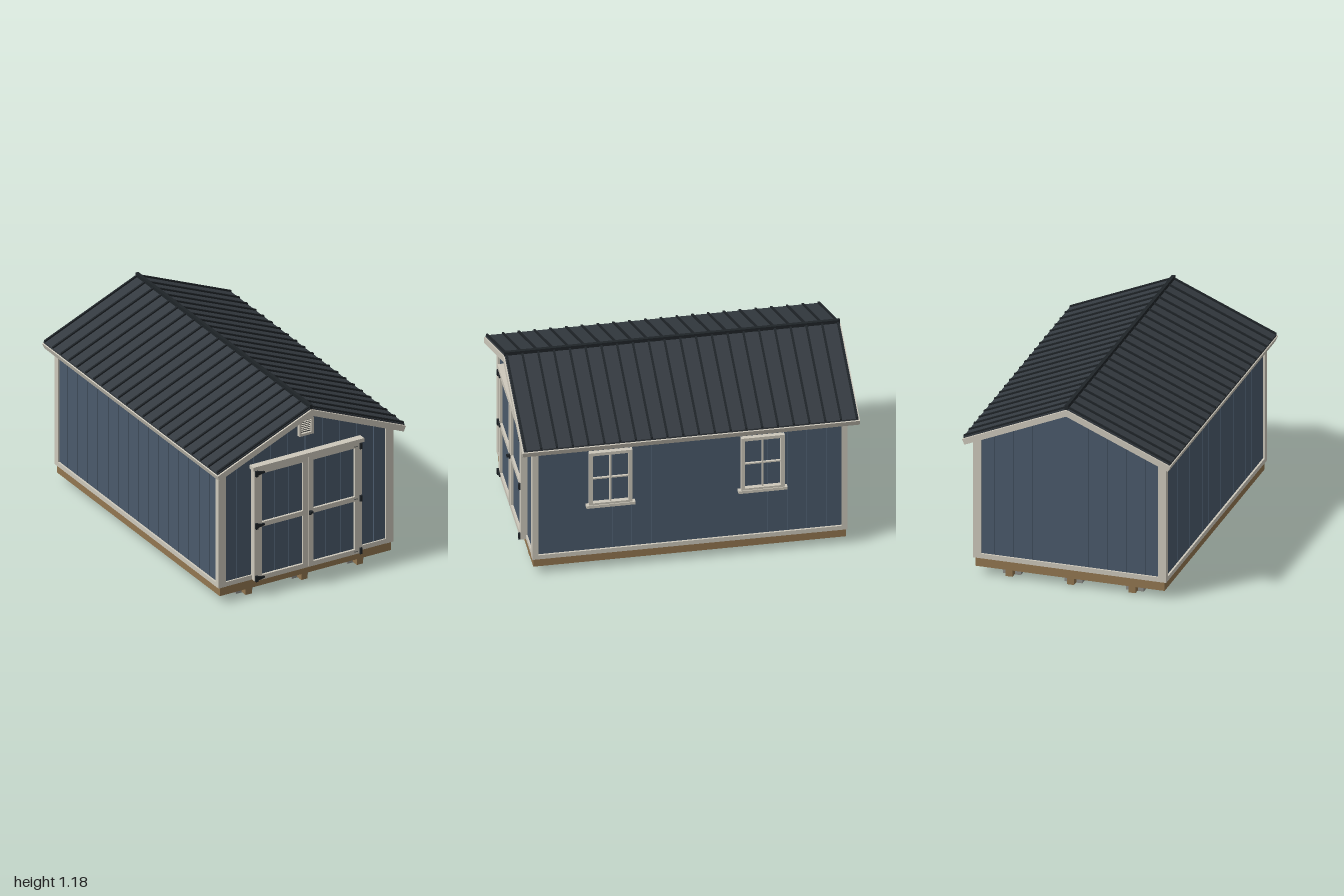
import * as THREE from 'three';

const mat = (name, color, double) => {
  const m = new THREE.MeshStandardMaterial({ color });
  m.name = name;
  if (double) m.side = THREE.DoubleSide;
  return m;
};

export function createModel() {
  const siding = mat('blueSiding', 0x4a5a6b);
  const trim = mat('creamTrim', 0xcdc8bb);
  const metal = mat('roofMetal', 0x343a40);
  const dark = mat('darkMetal', 0x1f2428);
  const wood = mat('timber', 0x927650);
  const block = mat('concrete', 0x8e8e8a);

  const root = new THREE.Group();
  root.name = 'shed';
  const group = (name) => {
    const g = new THREE.Group();
    g.name = name;
    root.add(g);
    return g;
  };
  const add = (parent, name, geo, material) => {
    const m = new THREE.Mesh(geo, material);
    m.name = name;
    parent.add(m);
    return m;
  };
  // box given by its lower and upper corner
  const box = (parent, name, material, x0, x1, y0, y1, z0, z1) => {
    const m = add(parent, name, new THREE.BoxGeometry(x1 - x0, y1 - y0, z1 - z0), material);
    m.position.set((x0 + x1) / 2, (y0 + y1) / 2, (z0 + z1) / 2);
    return m;
  };
  // flat outline in x and y, extruded from z0 to z1
  const slab = (parent, name, material, pts, z0, z1, holes = []) => {
    const s = new THREE.Shape(pts.map((p) => new THREE.Vector2(p[0], p[1])));
    holes.forEach((h) => s.holes.push(new THREE.Path(h.map((p) => new THREE.Vector2(p[0], p[1])))));
    const geo = new THREE.ExtrudeGeometry(s, { depth: z1 - z0, bevelEnabled: false });
    geo.translate(0, 0, z0);
    return add(parent, name, geo, material);
  };

  const SLOPE = 0.425, BASE = 0.105, WX = 0.58, WZ = 0.92;
  // upside-down V band: peak heights and half widths of its two faces
  const chevron = (top, bottom, w, wb = w) => [
    [0, top], [-w, top - SLOPE * w], [-wb, bottom - SLOPE * wb],
    [0, bottom], [wb, bottom - SLOPE * wb], [w, top - SLOPE * w],
  ];

  // foundation: pads, skids and floor frame
  const foundation = group('foundation');
  for (const x of [-0.377, 0, 0.377]) {
    box(foundation, 'skid', wood, x - 0.021, x + 0.021, 0.006, 0.052, -0.915, 0.915);
    for (const z of [-0.8, 0, 0.8]) {
      box(foundation, 'concretePad', block, x - 0.055, x + 0.055, 0, 0.031, z - 0.064, z + 0.064);
    }
  }
  box(foundation, 'floorFrame', wood, -WX, WX, 0.05, BASE, -0.925, 0.925);

  // wall core with vertical boards in front of it, leaving narrow grooves
  const walls = group('walls');
  const roofY = (x) => 1.125 - SLOPE * Math.abs(x);
  const c = WX - 0.007;
  slab(walls, 'wallCore', siding,
    [[-c, BASE], [c, BASE], [c, roofY(c)], [0, roofY(0)], [-c, roofY(c)]], -WZ + 0.007, WZ - 0.007);
  const GAP = 0.006;
  const gableBoards = 10, gw = (2 * WX) / gableBoards;
  for (let i = 0; i < gableBoards; i++) {
    const a = -WX + i * gw + GAP / 2, b = a + gw - GAP;
    const pts = [[a, BASE], [b, BASE], [b, roofY(b)], [a, roofY(a)]];
    slab(walls, 'frontBoard', siding, pts, WZ - 0.007, WZ);
    slab(walls, 'backBoard', siding, pts, -WZ, -WZ + 0.007);
  }
  const sideBoards = 16, sw = (2 * WZ) / sideBoards;
  for (let i = 0; i < sideBoards; i++) {
    const a = -WZ + i * sw + GAP / 2, b = a + sw - GAP;
    box(walls, 'leftBoard', siding, c, WX, BASE, 0.872, a, b);
    box(walls, 'rightBoard', siding, -WX, -c, BASE, 0.872, a, b);
  }

  // corner boards and base boards
  const trims = group('wallTrim');
  for (const s of [-1, 1]) {
    const z0 = s > 0 ? WZ : -WZ - 0.012, z1 = z0 + 0.012;
    const x0 = s > 0 ? WX : -WX - 0.012, x1 = x0 + 0.012;
    for (const t of [-1, 1]) {
      slab(trims, 'gableCornerBoard', trim,
        t > 0 ? [[0.543, BASE], [WX, BASE], [WX, 0.872], [0.543, 0.888]]
          : [[-WX, BASE], [-0.543, BASE], [-0.543, 0.888], [-WX, 0.872]], z0, z1);
      const za = t > 0 ? 0.897 : -0.932;
      box(trims, 'sideCornerBoard', trim, x0, x1, BASE, 0.868, za, za + 0.035);
    }
    box(trims, 'gableBaseBoard', trim, -0.545, 0.545, BASE, 0.134, z0, z1 - (s > 0 ? 0.002 : 0));
    box(trims, 'sideBaseBoard', trim, x0, x1, BASE, 0.133, -0.9, 0.9);
  }

  // roof deck, rake boards, fascias, metal sheet, ribs and ridge
  const roof = group('roof');
  slab(roof, 'roofDeck', trim, chevron(1.147, 1.118, 0.625), -0.985, 0.985);
  for (const z of [-0.998, 0.978]) {
    slab(roof, 'rakeBoard', trim, chevron(1.148, 1.109, 0.638, 0.624), z, z + 0.02);
  }
  for (const s of [-1, 1]) {
    const pts = [[0.615, 0.886], [0.602, 0.85], [0.624, 0.842], [0.638, 0.877]]
      .map(([x, y]) => [s * x, y]);
    slab(roof, 'eaveFascia', trim, pts, -0.99, 0.99);
  }
  slab(roof, 'roofSheet', metal, chevron(1.16, 1.15, 0.633), -0.99, 0.99);
  for (let i = 0; i < 22; i++) {
    const z = -0.98 + (i * 1.96) / 21;
    slab(roof, 'roofRib', dark, chevron(1.17, 1.158, 0.633), z - 0.006, z + 0.006);
  }
  box(roof, 'ridgeCap', dark, -0.01, 0.01, 1.148, 1.178, -0.992, 0.992);

  // double door
  const door = group('doubleDoor');
  const DZ = 0.945, DF = 0.96;
  box(door, 'doorHeader', trim, -0.375, 0.375, 0.828, 0.852, WZ, 0.966);
  for (const s of [-1, 1]) {
    const part = (name, m, a, b, y0, y1, z1) =>
      box(door, name, m, Math.min(s * a, s * b), Math.max(s * a, s * b), y0, y1, WZ, z1);
    // panel planks with narrow grooves
    for (let i = 0; i < 3; i++) {
      const a = 0.03 + i * 0.099;
      part('doorPlank', siding, a, a + 0.093, BASE, 0.826, DZ);
    }
    part('doorPanelBack', siding, 0.002, 0.36, BASE, 0.825, DZ - 0.006);
    part('outerStile', trim, 0.315, 0.364, BASE, 0.828, DF);
    part('innerStile', trim, 0.0015, 0.036, BASE, 0.828, DF);
    for (const [y0, y1] of [[BASE, 0.135], [0.45, 0.48], [0.797, 0.828]]) {
      part('doorRail', trim, 0.036, 0.315, y0, y1, DF);
    }
    for (const y of [0.122, 0.465, 0.807]) {
      box(door, 'hingePlate', dark, s * 0.353 - 0.008, s * 0.353 + 0.008, y - 0.019, y + 0.019, DF, 0.972);
      if (s < 0) {
        slab(door, 'hingeStrap', dark,
          [[-0.35, y - 0.014], [-0.3, y - 0.005], [-0.3, y + 0.005], [-0.35, y + 0.014]], DF, 0.968);
      } else {
        for (const x of [0.315, 0.328]) {
          box(door, 'hingeBolt', dark, x - 0.002, x + 0.002, y - 0.002, y + 0.002, DF, DF + 0.003);
        }
      }
    }
  }
  box(door, 'handlePlate', dark, 0.003, 0.018, 0.446, 0.472, DF, 0.968);
  box(door, 'handleLever', dark, 0.003, 0.022, 0.46, 0.472, 0.968, 0.982);

  // arched gable vent with slats
  const vent = group('gableVent');
  const arch = [[-0.049, 0.957], [0.049, 0.957]];
  for (let i = 0; i <= 10; i++) {
    const t = (i / 10) * Math.PI;
    arch.push([0.049 * Math.cos(t), 1.062 + 0.021 * Math.sin(t)]);
  }
  slab(vent, 'ventFrame', trim, arch, WZ, 0.94,
    [[[-0.034, 0.972], [-0.034, 1.056], [0.034, 1.056], [0.034, 0.972]]]);
  box(vent, 'ventBack', dark, -0.035, 0.035, 0.971, 1.057, WZ, 0.924);
  for (let i = 0; i < 6; i++) {
    const y = 0.984 + i * 0.012;
    box(vent, 'ventSlat', trim, -0.034, 0.034, y - 0.0015, y + 0.0015, 0.923, 0.934);
  }

  // two windows on the left wall
  for (const z of [0.471, -0.429]) {
    const win = group('window');
    const X0 = WX, X1 = 0.608;
    for (const s of [-1, 1]) {
      const e = z + s * 0.117;
      box(win, 'windowJamb', trim, X0, X1, 0.45, 0.812, e - 0.0115, e + 0.0115);
    }
    box(win, 'windowHead', trim, X0, X1, 0.792, 0.812, z - 0.106, z + 0.106);
    box(win, 'windowBottom', trim, X0, X1, 0.452, 0.466, z - 0.106, z + 0.106);
    box(win, 'windowSill', trim, X0, 0.613, 0.435, 0.453, z - 0.145, z + 0.145);
    box(win, 'verticalMuntin', trim, X0, 0.598, 0.465, 0.793, z - 0.005, z + 0.005);
    box(win, 'horizontalMuntin', trim, X0, 0.594, 0.622, 0.63, z - 0.106, z + 0.106);
  }

  return root;
}
